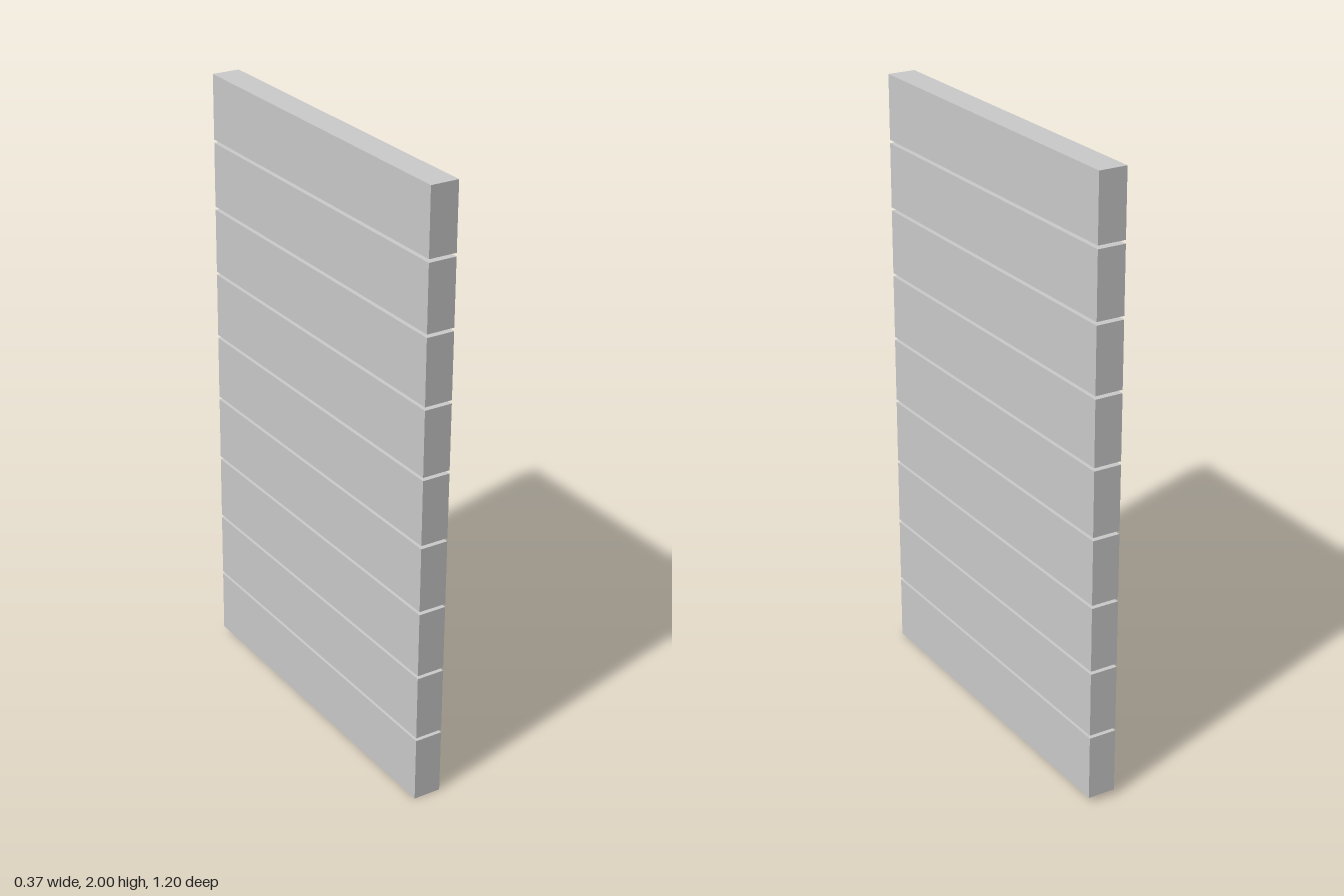
import * as THREE from 'three';

export function createModel() {
  const group = new THREE.Group();
  group.name = 'plankPanel';
  const material = new THREE.MeshStandardMaterial({ color: 0xcccccc, flatShading: true });

  // Stack of identical planks with thin open gaps
  const count = 9, height = 0.21, pitch = 0.2206, thickness = 0.091, length = 1.18;
  const geometry = new THREE.BoxGeometry(thickness, height, length);
  for (let i = 0; i < count; i++) {
    const plank = new THREE.Mesh(geometry, material);
    plank.name = `plank${i + 1}`;
    plank.position.y = (i - (count - 1) / 2) * pitch;
    group.add(plank);
  }

  // Turn and slight lean of the whole panel
  const up = new THREE.Vector3(-0.02, 1.975, 0.03).normalize();
  const along = new THREE.Vector3(-0.26, -0.022, 1.15).normalize();
  const across = new THREE.Vector3().crossVectors(up, along).normalize();
  along.crossVectors(across, up);
  group.quaternion.setFromRotationMatrix(new THREE.Matrix4().makeBasis(across, up, along));
  group.position.y = 1;

  const model = new THREE.Group();
  model.name = 'leaningPanel';
  model.add(group);
  return model;
}
